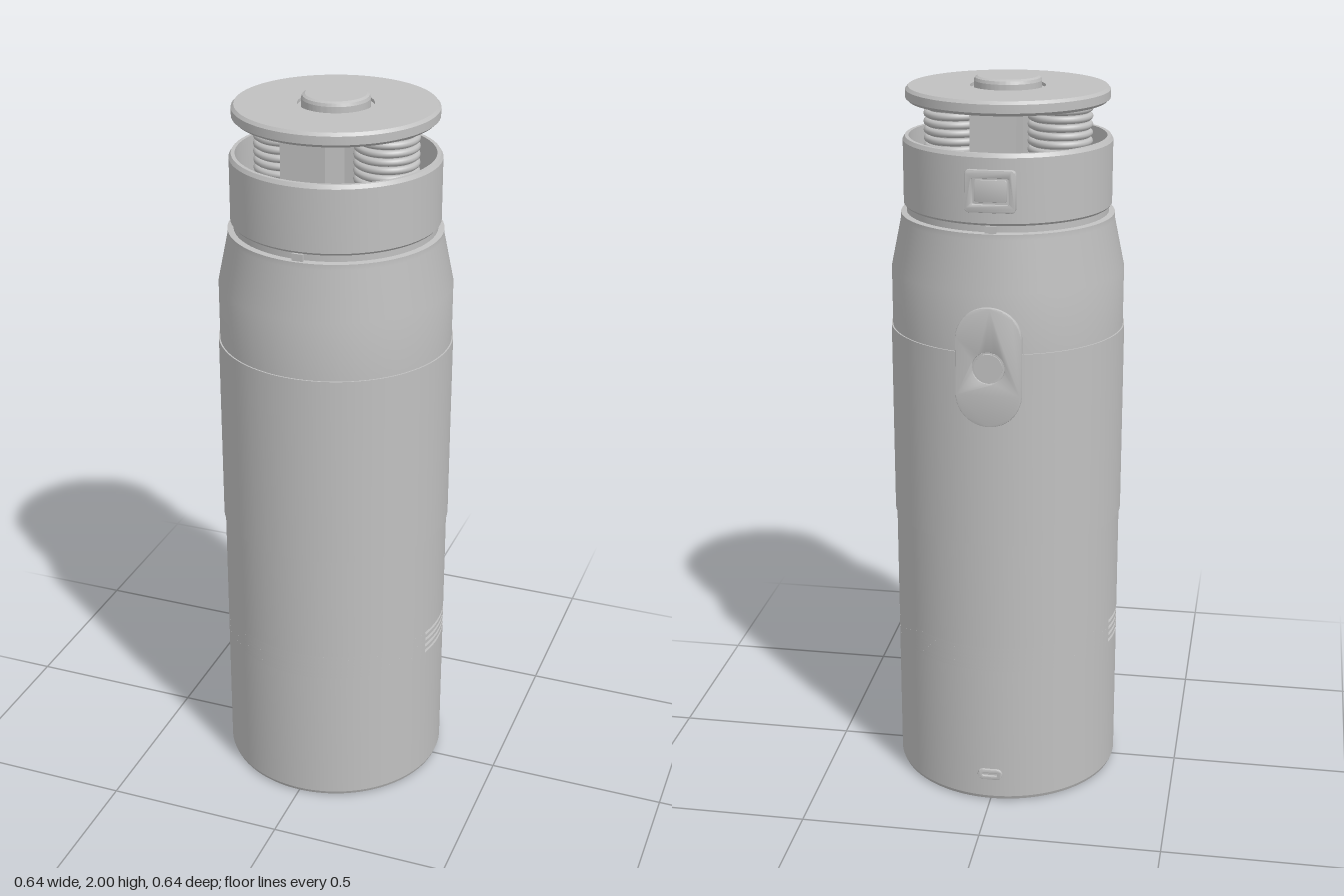
import * as THREE from 'three';
import { toCreasedNormals } from 'three/addons/utils/BufferGeometryUtils.js';

const metal = new THREE.MeshStandardMaterial({ color: 0xc0c0c0 });
metal.name = 'satin grey';

function add(parent, name, geometry, x = 0, y = 0, z = 0) {
  const mesh = new THREE.Mesh(geometry, metal);
  mesh.name = name;
  mesh.position.set(x, y, z);
  parent.add(mesh);
  return mesh;
}

function lathe(points, segments = 96, start = 0, length = Math.PI * 2) {
  const profile = points.map(([r, y]) => new THREE.Vector2(r, y));
  return toCreasedNormals(new THREE.LatheGeometry(profile, segments, start, length), 0.3);
}

// Rounded rectangle outline centred on the origin
function roundedRect(path, w, h, r) {
  const x = w / 2 - r, y = h / 2 - r;
  path.absarc(x, y, r, 0, Math.PI / 2);
  path.absarc(-x, y, r, Math.PI / 2, Math.PI);
  path.absarc(-x, -y, r, Math.PI, Math.PI * 1.5);
  path.absarc(x, -y, r, Math.PI * 1.5, Math.PI * 2);
  path.closePath();
  return path;
}

function plate(w, h, r, depth, hole, bevel = 0.003) {
  const shape = roundedRect(new THREE.Shape(), w - 2 * bevel, h - 2 * bevel, r - bevel);
  if (hole) shape.holes.push(hole);
  const g = new THREE.ExtrudeGeometry(shape, {
    depth: depth - bevel, bevelThickness: bevel, bevelSize: bevel, bevelSegments: 2, curveSegments: 16,
  });
  return toCreasedNormals(g, 0.5);
}

export function createModel() {
  const model = new THREE.Group();
  model.name = 'bottle';
  const R = 0.316, inner = 0.3;

  // Hollow lower body up to the vents
  add(model, 'lowerBody', lathe([
    [0, 0], [0.305, 0], [0.312, 0.004], [R, 0.014], [R, 0.41], [inner, 0.41], [inner, 0.02], [0, 0.02],
  ]));

  // Vent band: slotted rows alternate with full rings
  const band = (y0, y1) => [[inner, y0], [R, y0], [R, y1], [inner, y1], [inner, y0]];
  const half = Math.asin(0.085 / R);
  for (let i = 0; i < 4; i++) {
    const y = 0.41 + i * 0.02;
    for (const side of [0, 1]) {
      add(model, 'ventRow', lathe(band(y, y + 0.01), 40,
        Math.PI * (side - 0.5) + half, Math.PI - 2 * half));
    }
    if (i < 3) add(model, 'ventSlat', lathe(band(y + 0.01, y + 0.02)));
  }

  // Upper body with the raised sleeve, tapered shoulder and neck
  add(model, 'upperBody', lathe([
    [inner, 0.78], [inner, 0.48], [R, 0.48], [R, 0.79], [0.32, 0.79], [0.32, 1.33], [R, 1.33], [R, 1.49],
    [0.288, 1.625], [0.288, 1.64], [0.272, 1.642], [0.272, 1.665], [0, 1.665],
  ]));
  for (const z of [-1, 1]) {
    add(model, 'neckKey', new THREE.BoxGeometry(0.03, 0.02, 0.02), 0, 1.65, z * 0.272);
  }

  // Open cup-shaped collar
  add(model, 'collar', lathe([
    [0.26, 1.66], [0.275, 1.66], [0.28, 1.666], [0.28, 1.835], [0.274, 1.845],
    [0.264, 1.845], [0.264, 1.7], [0, 1.7],
  ]));

  // Lid disc with a ring groove around its button
  add(model, 'lid', lathe([
    [0, 1.937], [0.262, 1.937], [0.271, 1.945], [0.271, 1.967], [0.264, 1.975],
    [0.1, 1.975], [0.1, 1.966], [0, 1.966],
  ]));
  add(model, 'lidButton', lathe([
    [0.09, 1.96], [0.09, 1.988], [0.087, 1.996], [0.08, 2], [0, 2],
  ]));

  // Spring posts left and right, guide blocks front and back
  for (const side of [-1, 1]) {
    add(model, 'springPost', new THREE.CylinderGeometry(0.072, 0.072, 0.24, 40), side * 0.14, 1.82, 0);
    for (let i = 0; i < 10; i++) {
      const ring = new THREE.TorusGeometry(0.077, 0.01, 10, 48).rotateX(Math.PI / 2);
      add(model, 'springCoil', ring, side * 0.14, 1.722 + i * 0.022, 0);
    }
  }
  add(model, 'frontGuide', new THREE.BoxGeometry(0.12, 0.24, 0.14), 0, 1.82, 0.17);
  add(model, 'rearGuide', new THREE.BoxGeometry(0.12, 0.24, 0.11), 0, 1.82, -0.185);

  // Details on the back, built facing +z and turned around
  const back = new THREE.Group();
  back.name = 'backDetails';
  back.rotation.y = Math.PI;
  model.add(back);

  add(back, 'latchFrame', plate(0.132, 0.11, 0.012, 0.03,
    roundedRect(new THREE.Path(), 0.1, 0.074, 0.006)), 0, 1.75, 0.258);
  add(back, 'latchPanel', plate(0.084, 0.058, 0.006, 0.02), 0, 1.75, 0.263);

  const hole = new THREE.Path().absarc(0, 0, 0.046, 0, Math.PI * 2);
  add(back, 'controlPlate', plate(0.174, 0.325, 0.087, 0.024, hole), 0, 1.293, 0.3);
  const button = new THREE.CylinderGeometry(0.037, 0.037, 0.02, 40).rotateX(Math.PI / 2);
  add(back, 'controlButton', button, 0, 1.293, 0.3125);

  add(back, 'portRim', plate(0.07, 0.032, 0.016, 0.02,
    roundedRect(new THREE.Path(), 0.05, 0.014, 0.007)), 0, 0.085, 0.303);

  return model;
}
